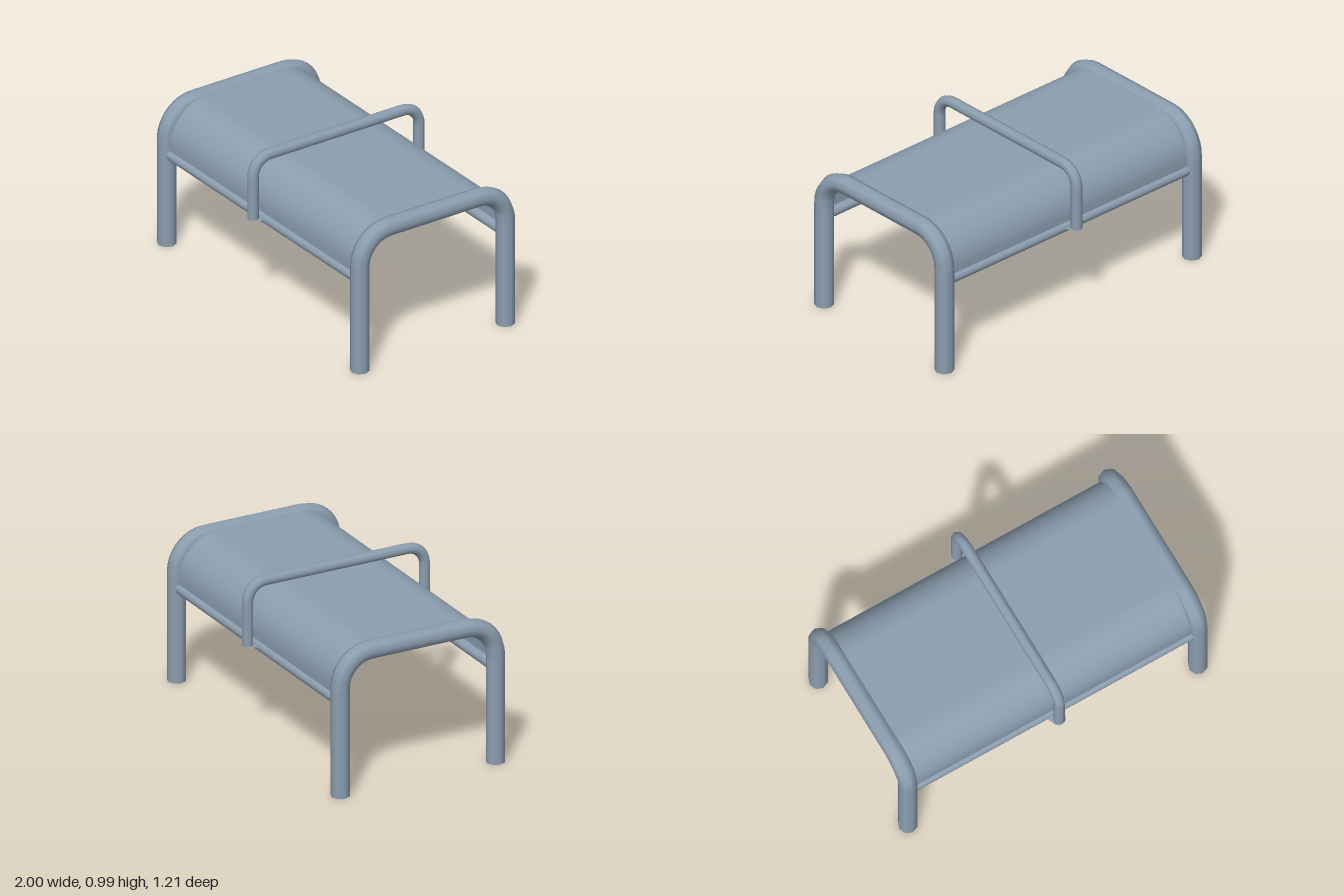
import * as THREE from 'three';

const material = new THREE.MeshStandardMaterial({ color: 0x8c9fb0, side: THREE.DoubleSide });

function add(parent, name, geometry) {
  const mesh = new THREE.Mesh(geometry, material);
  mesh.name = name;
  parent.add(mesh);
  return mesh;
}

// Points of an upside-down U in the zy plane, running from back to front
function archPoints(halfDepth, top, bottom, radius, steps = 8) {
  const half = [new THREE.Vector3(0, bottom, halfDepth)];
  for (let i = 0; i <= steps; i++) {
    const a = (i / steps) * Math.PI / 2;
    half.push(new THREE.Vector3(0,
      top - radius + radius * Math.sin(a),
      halfDepth - radius + radius * Math.cos(a)));
  }
  const back = half.map((p) => new THREE.Vector3(0, p.y, -p.z));
  return [...back, ...half.reverse()];
}

// Bent tube following an arch
function archTube(halfDepth, top, bottom, bend, tubeRadius) {
  const path = new THREE.CurvePath();
  const pts = archPoints(halfDepth, top, bottom, bend);
  for (let i = 1; i < pts.length; i++) path.add(new THREE.LineCurve3(pts[i - 1], pts[i]));
  return new THREE.TubeGeometry(path, 80, tubeRadius, 8, false);
}

export function createModel() {
  const group = new THREE.Group();
  group.name = 'archedBench';

  // End frames with legs
  for (const side of [-1, 1]) {
    const frame = add(group, side > 0 ? 'leftFrame' : 'rightFrame',
      archTube(0.5, 0.853, 0, 0.19, 0.056));
    frame.position.x = side * 0.944;
  }

  // Thin curved sheet between the frames
  const profile = archPoints(0.512, 0.88, 0.575, 0.24, 12);
  const sheet = new THREE.PlaneGeometry(1.8, 1, 1, profile.length - 1);
  const pos = sheet.attributes.position;
  for (let i = 0; i < pos.count; i++) {
    const p = profile[Math.floor(i / 2)];
    pos.setXYZ(i, pos.getX(i), p.y, p.z);
  }
  sheet.computeVertexNormals();
  add(group, 'curvedSheet', sheet);

  // Centre hoop over the sheet
  add(group, 'centreHoop', archTube(0.57, 0.957, 0.58, 0.11, 0.033));

  // Tapered tab joining hoop foot and rail
  const tabShape = new THREE.Shape([
    new THREE.Vector2(-0.065, 0.51), new THREE.Vector2(0.065, 0.51),
    new THREE.Vector2(0.033, 0.59), new THREE.Vector2(0.015, 0.602),
    new THREE.Vector2(-0.015, 0.602), new THREE.Vector2(-0.033, 0.59),
  ]);

  for (const side of [-1, 1]) {
    const end = side > 0 ? 'front' : 'back';
    // Edge rail along the lower edge of the sheet
    const rail = add(group, end + 'Rail', new THREE.CylinderGeometry(0.031, 0.031, 1.8, 16));
    rail.rotation.z = Math.PI / 2;
    rail.position.set(0, 0.575, side * 0.502);

    const tab = add(group, end + 'HoopTab', new THREE.ShapeGeometry(tabShape));
    tab.rotation.x = side * Math.PI / 2;
    tab.position.y = 0.581;
  }

  return group;
}
